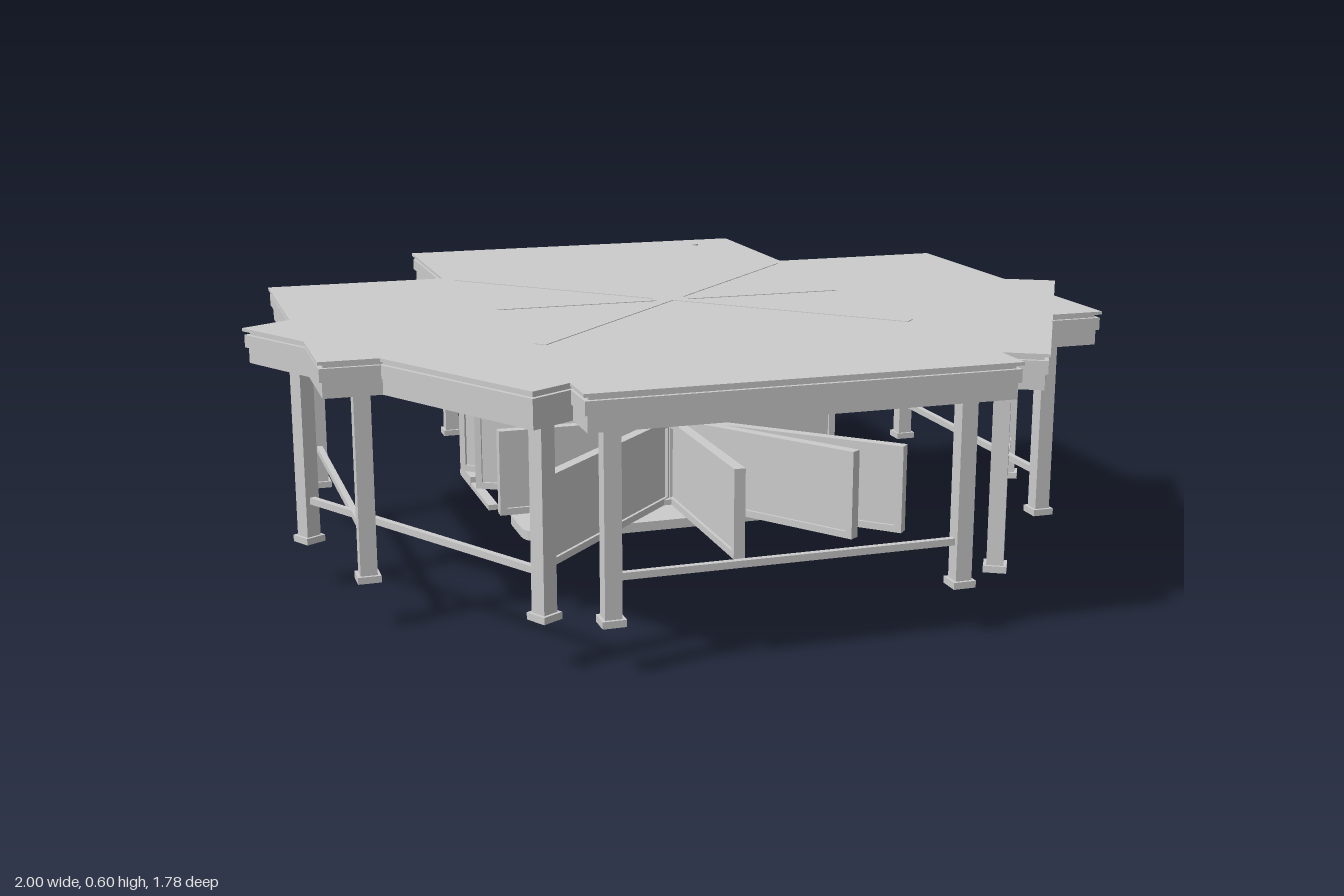
import * as THREE from 'three';

const stone = new THREE.MeshStandardMaterial({ color: 0xcccccc });
stone.name = 'light grey';

// Box given by its centre in x and z and its bottom and top in y
function box(parent, name, w, d, y0, y1, x = 0, z = 0) {
  const mesh = new THREE.Mesh(new THREE.BoxGeometry(w, y1 - y0, d), stone);
  mesh.position.set(x, (y0 + y1) / 2, z);
  mesh.name = name;
  parent.add(mesh);
  return mesh;
}

// One roof arm pointing to local +z, with moulded edge, two posts and a rail
function makeArm(angle, hasRail) {
  const arm = new THREE.Group();
  arm.name = 'roofArm';
  const half = 0.457, reach = 0.89;
  const layers = [
    [0.52, 0.555, 0.009], [0.555, 0.583, 0.003],
    [0.583, 0.591, 0.012], [0.591, 0.598, 0],
  ];
  for (const [y0, y1, inset] of layers) {
    box(arm, 'roofLayer', 2 * (half - inset), reach - inset, y0, y1, 0, (reach - inset) / 2);
  }
  for (const side of [-1, 1]) {
    box(arm, 'post', 0.036, 0.036, 0.118, 0.52, side * 0.38, 0.795);
    box(arm, 'postFoot', 0.05, 0.05, 0.105, 0.12, side * 0.38, 0.795);
  }
  if (hasRail) box(arm, 'rail', 0.74, 0.014, 0.196, 0.211, 0, 0.795);
  arm.rotation.y = angle;
  return arm;
}

// Framed panel running from the column to (x, z)
function makeVane(x, z) {
  const vane = new THREE.Group();
  vane.name = 'framedPanel';
  const len = Math.hypot(x, z), y0 = 0.105, y1 = 0.31, t = 0.026, b = 0.016;
  box(vane, 'panelSheet', 0.012, len - 0.01, y0 + 0.005, y1 - 0.005, 0, len / 2);
  box(vane, 'panelBottomBar', t, len, y0, y0 + b, 0, len / 2);
  box(vane, 'panelTopBar', t, len, y1 - b, y1, 0, len / 2);
  box(vane, 'panelOuterStile', t, b, y0, y1, 0, len - b / 2);
  box(vane, 'panelInnerStile', t, b, y0, y1, 0, 0.03);
  vane.rotation.y = Math.atan2(x, z);
  return vane;
}

// Flat board with rounded corners
function makeBoard(w, d, y0, y1, r) {
  const s = new THREE.Shape(), x = w / 2, z = d / 2;
  s.moveTo(-x + r, -z);
  s.lineTo(x - r, -z);
  s.quadraticCurveTo(x, -z, x, -z + r);
  s.lineTo(x, z - r);
  s.quadraticCurveTo(x, z, x - r, z);
  s.lineTo(-x + r, z);
  s.quadraticCurveTo(-x, z, -x, z - r);
  s.lineTo(-x, -z + r);
  s.quadraticCurveTo(-x, -z, -x + r, -z);
  const geo = new THREE.ExtrudeGeometry(s, { depth: y1 - y0, bevelEnabled: false, curveSegments: 5 });
  geo.rotateX(-Math.PI / 2).translate(0, y0, 0);
  return new THREE.Mesh(geo, stone);
}

export function createModel() {
  const model = new THREE.Group();
  model.name = 'pavilion';

  // Roof arms: front, back, sides and the two turned towards the front
  const deg = Math.PI / 180;
  for (const a of [0, 60, -60, 90, -90, 180]) model.add(makeArm(a * deg, a !== 180));

  // Strips lying on the roof
  for (const [w, a] of [[0.84, 0], [1.2, 45], [1.2, -45]]) {
    box(model, 'roofStrip', w, 0.03, 0.596, 0.5995).rotation.y = a * deg;
  }

  // Roof knob
  const knob = new THREE.Mesh(new THREE.CylinderGeometry(0.009, 0.009, 0.006, 12), stone);
  knob.position.set(0.33, 0.599, -0.79);
  knob.name = 'roofKnob';
  model.add(knob);

  // Central column
  const column = new THREE.Mesh(new THREE.CylinderGeometry(0.029, 0.029, 0.415, 20), stone);
  column.position.y = 0.3125;
  column.name = 'column';
  model.add(column);
  box(model, 'columnFoot', 0.1, 0.1, 0.105, 0.118);

  // Upright framed panels around the column
  for (const s of [-1, 1]) {
    for (const z of [0.42, 0, -0.245, -0.42]) model.add(makeVane(s * 0.425, z));
  }
  model.add(makeVane(0, 0.49), makeVane(0.3, 0.43));

  // Hanging board under the column
  const board = makeBoard(0.77, 0.195, 0.06, 0.083, 0.05);
  board.name = 'lowerBoard';
  model.add(board);

  // Step at the back with two side runners
  const step = new THREE.Group();
  step.name = 'backStep';
  box(step, 'stepBase', 0.74, 0.14, 0.004, 0.015, 0, -0.67);
  box(step, 'stepPlank', 0.74, 0.11, 0.015, 0.03, 0, -0.655);
  for (const s of [-1, 1]) box(step, 'stepRunner', 0.025, 0.36, 0, 0.014, s * 0.357, -0.56);
  model.add(step);

  return model;
}
